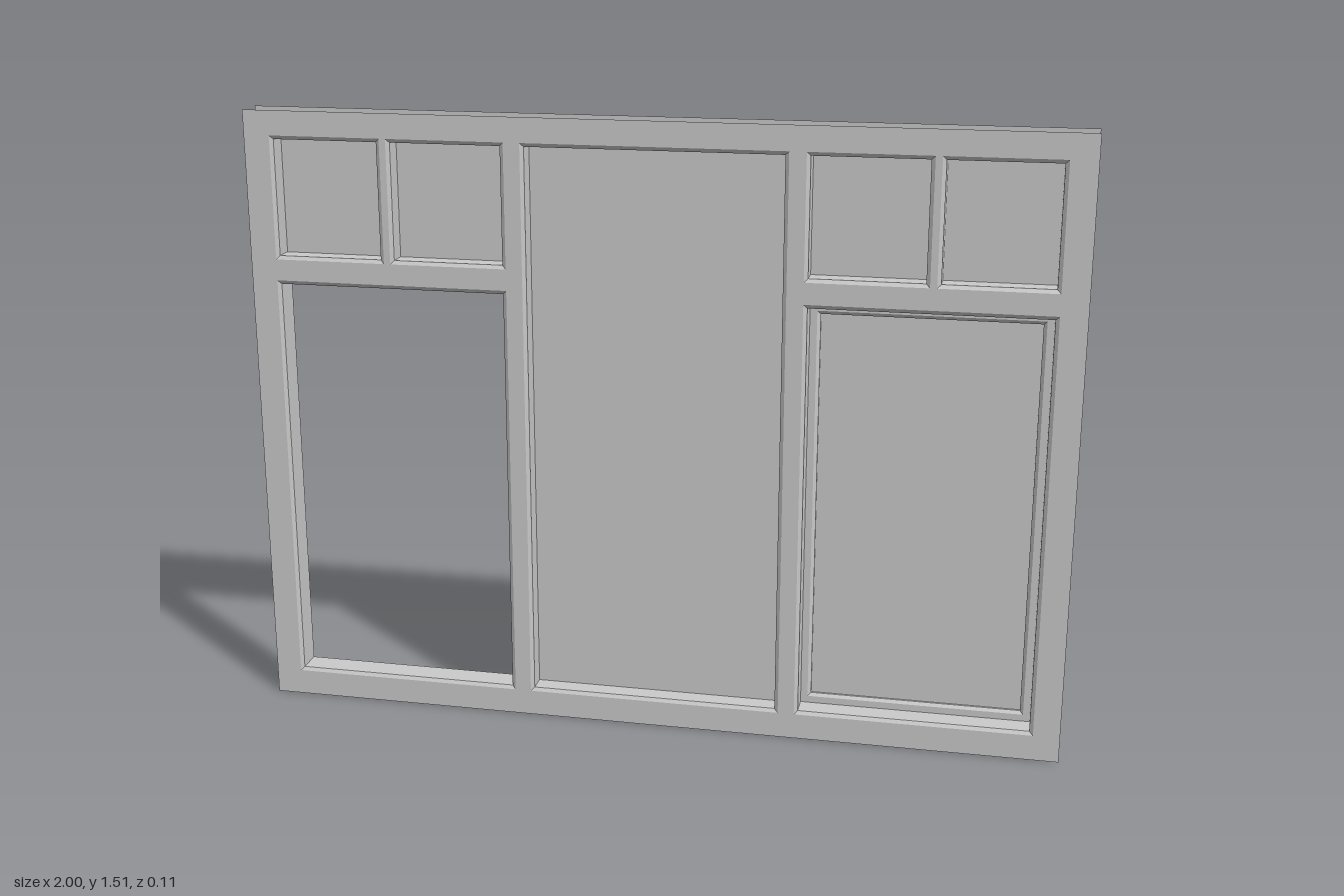
import * as THREE from 'three';

const FRONT = 0.054, BACK = -0.021, GLASS = 0.003;
const mat = new THREE.MeshStandardMaterial({ color: 0xcccccc, side: THREE.DoubleSide, flatShading: true });
const smooth = new THREE.MeshStandardMaterial({ color: 0xcccccc });

// Rectangles are [left, bottom, right, top]
const inset = ([l, b, r, t], d) => [l + d, b + d, r - d, t - d];
const mirror = ([l, b, r, t]) => [-r, b, -l, t];
const corners = ([l, b, r, t]) => [[l, b], [r, b], [r, t], [l, t]];

function add(parent, name, geometry, material = mat) {
  const mesh = new THREE.Mesh(geometry, material);
  mesh.name = name;
  parent.add(mesh);
  return mesh;
}

// Sweep a profile of [inset, z] points around a rectangle with mitred corners
function sweepRect(rect, profile) {
  const pos = [], index = [];
  for (const [d, z] of profile)
    for (const [x, y] of corners(inset(rect, d))) pos.push(x, y, z);
  for (let i = 0; i < profile.length - 1; i++)
    for (let j = 0; j < 4; j++) {
      const a = i * 4 + j, b = i * 4 + (j + 1) % 4;
      index.push(a, b, b + 4, a, b + 4, a + 4);
    }
  const g = new THREE.BufferGeometry();
  g.setAttribute('position', new THREE.Float32BufferAttribute(pos, 3));
  g.setIndex(index);
  g.computeVertexNormals();
  return g;
}

// Flat pane filling a rectangle
function pane(parent, name, rect, z) {
  const [l, b, r, t] = rect;
  add(parent, name, new THREE.PlaneGeometry(r - l, t - b)).position.set((l + r) / 2, (b + t) / 2, z);
}

// Frame face with all openings cut out
function faceSheet(openings) {
  const toPoints = (rect) => corners(rect).map(([x, y]) => new THREE.Vector2(x, y));
  const shape = new THREE.Shape(toPoints([-1, 0, 1, 1.513]));
  shape.holes = openings.map((o) => new THREE.Path(toPoints(o).reverse()));
  return new THREE.ShapeGeometry(shape);
}

function createHandle() {
  const handle = new THREE.Group();
  handle.name = 'handle';
  add(handle, 'handleRose', new THREE.BoxGeometry(0.014, 0.036, 0.005)).position.set(0, 0.584, -0.027);
  // Neck leaves the sash and bends down into the lever
  const path = new THREE.CatmullRomCurve3([
    [0.584, -0.026], [0.583, -0.038], [0.574, -0.045], [0.55, -0.049], [0.52, -0.0495], [0.492, -0.048],
  ].map(([y, z]) => new THREE.Vector3(0, y, z)));
  const lever = new THREE.TubeGeometry(path, 24, 0.0045, 10);
  lever.scale(1.3, 1, 1);
  add(handle, 'handleLever', lever, smooth);
  const tip = add(handle, 'handleTip', new THREE.SphereGeometry(0.0045, 10, 6), smooth);
  tip.position.set(0, 0.492, -0.048);
  tip.scale.x = 1.3;
  handle.position.x = 0.367;
  return handle;
}

export function createModel() {
  const model = new THREE.Group();
  model.name = 'windowWall';

  const centre = [-0.316, 0.064, 0.316, 1.453];
  const door = [0.356, 0.064, 0.936, 1.1];
  const lights = [[0.356, 1.152, 0.644, 1.453], [0.66, 1.152, 0.936, 1.453]];
  const glazed = [centre, ...lights, ...lights.map(mirror)];
  const openings = [...glazed, door, mirror(door)];

  // Front and back frame faces
  add(model, 'frameFront', faceSheet(openings)).position.z = FRONT;
  const back = add(model, 'frameBack', faceSheet(openings.map(mirror)));
  back.rotation.y = Math.PI;
  back.position.z = BACK;

  // Chamfered reveals through the frame
  const reveal = [[0, FRONT], [0.009, FRONT - 0.005], [0.009, BACK + 0.006], [0, BACK]];
  for (const o of openings) add(model, 'reveal', sweepRect(o, reveal));

  // Fixed glazing
  for (const o of glazed) pane(model, 'glassPane', inset(o, 0.009), GLASS);

  // Opening sash with a thin overlapping flange, closing the right-hand opening
  const sash = new THREE.Group();
  sash.name = 'sash';
  add(sash, 'sashFrame', sweepRect(door, [
    [-0.005, -0.025], [-0.005, -0.022], [0.009, -0.022], [0.009, -0.004],
    [0.026, -0.004], [0.034, -0.009], [0.034, -0.019], [0.026, -0.025], [-0.005, -0.025],
  ]));
  pane(sash, 'sashGlass', inset(door, 0.034), -0.014);
  sash.add(createHandle());
  model.add(sash);

  return model;
}
